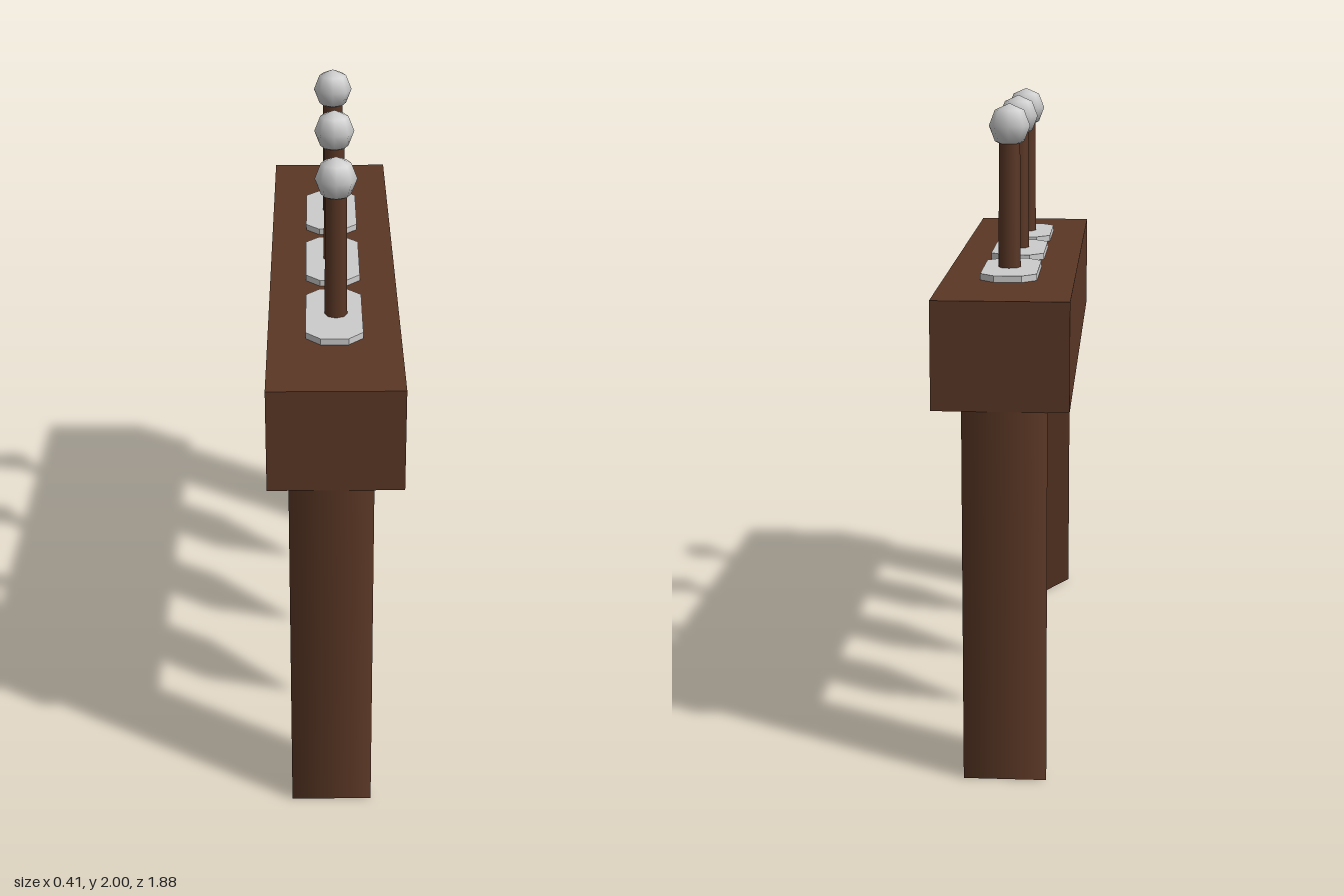
import * as THREE from 'three';

const wood = new THREE.MeshStandardMaterial({ color: 0x5a3725, side: THREE.DoubleSide });
wood.name = 'dark wood';
const silver = new THREE.MeshStandardMaterial({ color: 0xcccccc });
silver.name = 'silver';
const steel = new THREE.MeshStandardMaterial({ color: 0x666673 });
steel.name = 'blue grey steel';

function add(parent, name, geometry, material, x, y, z) {
  const mesh = new THREE.Mesh(geometry, material);
  mesh.name = name;
  mesh.position.set(x, y, z);
  parent.add(mesh);
  return mesh;
}

// Six-sided flattened blade, straight above and pointed below
function bladeGeometry() {
  const shaft = [[0.115, 0.205], [0.115, 0.63], [0.115, 1.3]];
  shaft[0][0] = 0.0005;
  const profile = shaft.map(([r, y]) => new THREE.Vector2(r, y));
  const geometry = new THREE.LatheGeometry(profile, 6);
  geometry.scale(0.38, 1, 1);
  return geometry;
}

// Flat guard plate with cut corners
function guardGeometry() {
  const w = 0.087, l = 0.185, c = 0.045;
  const points = [
    [w, -l + c], [w, l - c], [w - c, l], [c - w, l],
    [-w, l - c], [-w, c - l], [c - w, -l], [w - c, -l],
  ].map(([x, y]) => new THREE.Vector2(x, y));
  const geometry = new THREE.ExtrudeGeometry(new THREE.Shape(points), { depth: 0.02, bevelEnabled: false });
  return geometry.rotateX(-Math.PI / 2);
}

export function createModel() {
  const model = new THREE.Group();
  model.name = 'swordRack';

  add(model, 'beam', new THREE.BoxGeometry(0.405, 0.325, 1.88), wood, 0, 1.31, 0);

  // Hollow three-sided legs with their ridges facing inward
  for (const side of [1, -1]) {
    const leg = new THREE.CylinderGeometry(0.145, 0.145, 1.15, 3, 1, true, side > 0 ? Math.PI : 0);
    add(model, side > 0 ? 'frontLeg' : 'backLeg', leg, wood, -0.013, 0.575, side * 0.866);
  }

  // Three swords standing in the beam
  const blade = bladeGeometry();
  const guard = guardGeometry();
  const grip = new THREE.CylinderGeometry(0.033, 0.035, 0.42, 8);
  const pommel = new THREE.SphereGeometry(0.064, 8, 4).scale(1, 1.07, 1);
  for (const z of [0.453, 0.017, -0.422]) {
    const sword = new THREE.Group();
    sword.name = 'sword';
    sword.position.z = z;
    add(sword, 'blade', blade, steel, 0, 0, 0);
    add(sword, 'guard', guard, silver, 0, 1.473, -0.002);
    add(sword, 'grip', grip, wood, 0.006, 1.67, 0);
    add(sword, 'pommel', pommel, silver, 0.006, 1.932, 0);
    model.add(sword);
  }
  return model;
}
